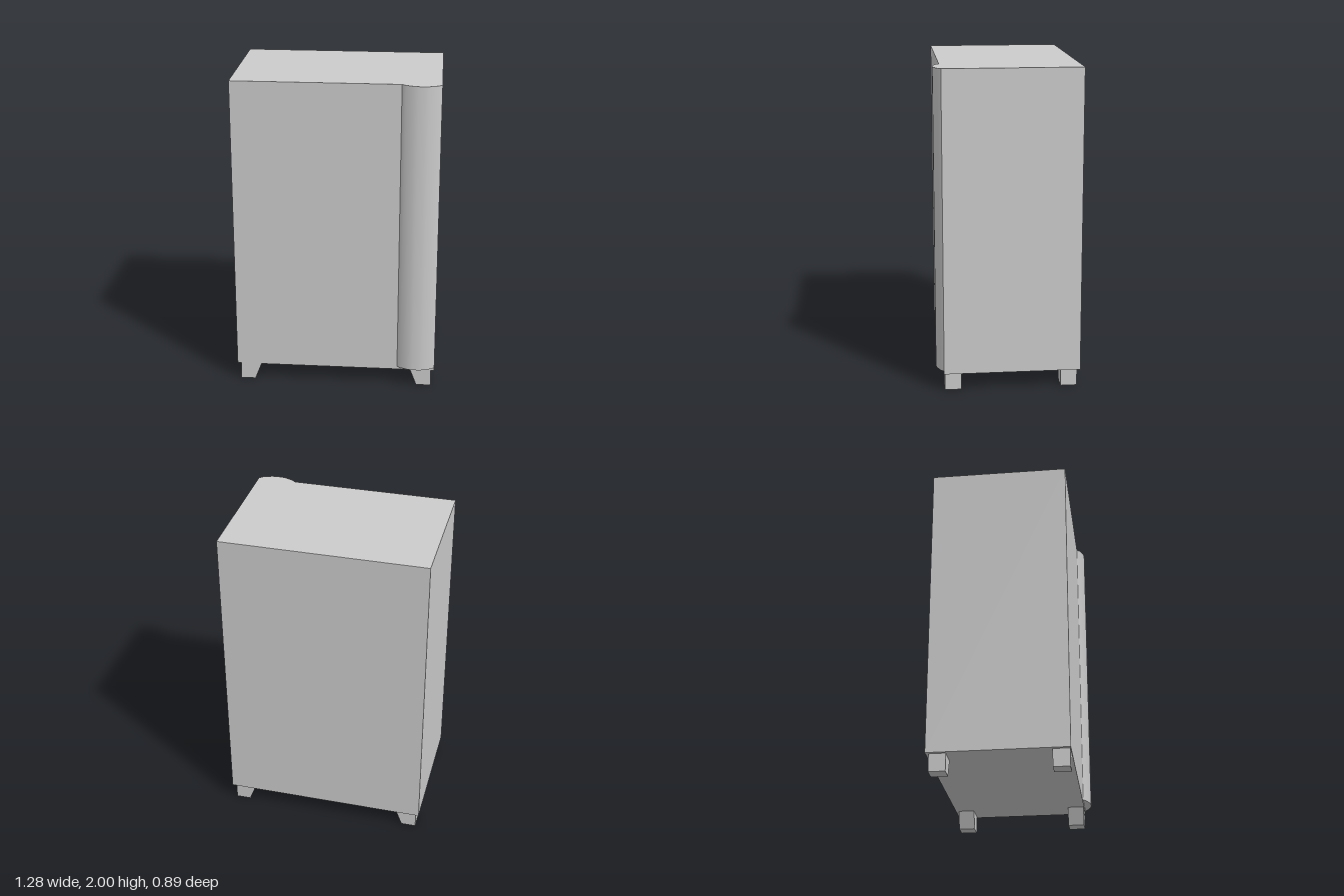
import * as THREE from 'three';
import { toCreasedNormals } from 'three/addons/utils/BufferGeometryUtils.js';

const BOTTOM = 0.11, TOP = 2;

export function createModel() {
  const group = new THREE.Group();
  const material = new THREE.MeshStandardMaterial({ color: 0xcccccc });
  const add = (name, geometry, x = 0, y = 0, z = 0) => {
    const mesh = new THREE.Mesh(geometry, material);
    mesh.name = name;
    mesh.position.set(x, y, z);
    group.add(mesh);
  };
  const extrude = (points, depth) => new THREE.ExtrudeGeometry(
    new THREE.Shape(points.map(([x, y]) => new THREE.Vector2(x, y))),
    { depth, bevelEnabled: false });

  // Cabinet body
  add('cabinet', new THREE.BoxGeometry(1.28, TOP - BOTTOM, 0.85), 0, (TOP + BOTTOM) / 2, -0.023);

  // Rounded vertical pilaster on the front, extruded upwards
  const bulge = [[-0.12, 0], [-0.098, -0.02], [-0.045, -0.041], [-0.02, -0.045],
    [0.02, -0.045], [0.045, -0.041], [0.098, -0.02], [0.12, 0]];
  const pilaster = extrude(bulge, TOP - 0.13).rotateX(-Math.PI / 2);
  add('frontPilaster', toCreasedNormals(pilaster, 0.7), 0.52, 0.13, 0.402);

  // Feet: straight outside, tapering on the inner side
  for (const side of [-1, 1]) {
    const profile = [[0.525, 0], [0.618, 0], [0.618, BOTTOM], [0.483, BOTTOM]]
      .map(([x, y]) => [side * x, y]);
    for (const [end, z] of [['front', 0.295], ['back', -0.43]]) {
      add(`${end}${side > 0 ? 'Left' : 'Right'}Foot`, extrude(profile, 0.102), 0, 0, z);
    }
  }
  return group;
}
